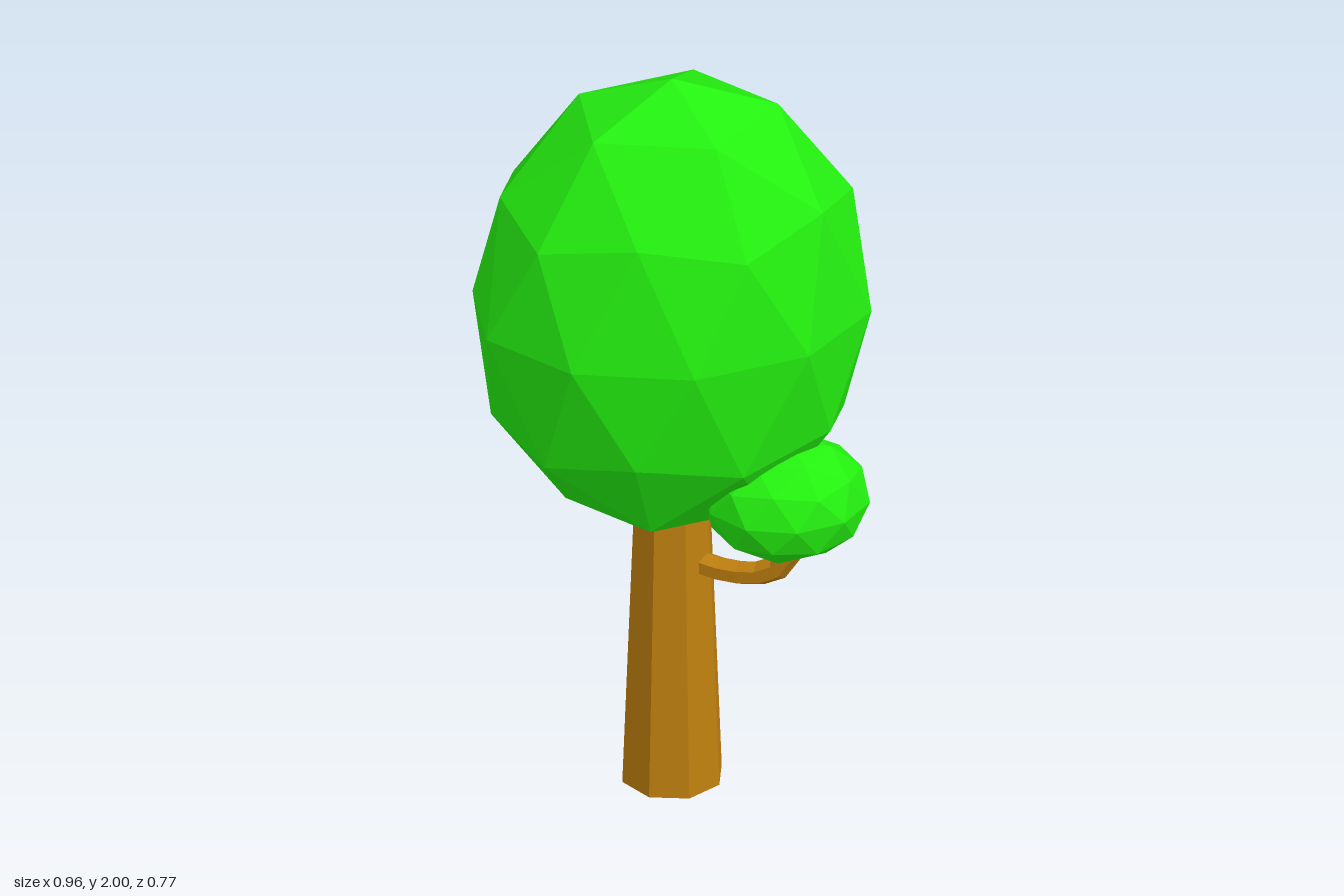
import * as THREE from 'three';

const leafMat = new THREE.MeshStandardMaterial({ color: 0x24f010, flatShading: true });
const barkMat = new THREE.MeshStandardMaterial({ color: 0xc08010, flatShading: true });

// Low-poly ball with a vertex at each pole and a ring of ten around its middle
function foliage(name, position, radii) {
  const vertices = [0, 1, 0];
  const faces = [];
  const h = 1 / Math.sqrt(5);
  for (const [y, turn] of [[h, 0], [-h, Math.PI / 5]]) {
    for (let k = 0; k < 5; k++) {
      const a = turn + (k * 2 * Math.PI) / 5;
      vertices.push(2 * h * Math.cos(a), y, 2 * h * Math.sin(a));
    }
  }
  vertices.push(0, -1, 0);
  for (let k = 0; k < 5; k++) {
    const n = (k + 1) % 5;
    const [a, b, c, d] = [1 + k, 1 + n, 6 + k, 6 + n];
    faces.push(0, b, a, a, b, c, b, d, c, 11, c, d);
  }
  const geometry = new THREE.PolyhedronGeometry(vertices, faces, 1, 1);
  geometry.scale(...radii);
  const mesh = new THREE.Mesh(geometry, leafMat);
  mesh.name = name;
  mesh.position.set(...position);
  return mesh;
}

export function createModel() {
  const tree = new THREE.Group();
  tree.name = 'tree';

  // Tapered eight-sided trunk, its top hidden in the crown
  const trunk = new THREE.Mesh(new THREE.CylinderGeometry(0.099, 0.13, 0.8, 8), barkMat);
  trunk.name = 'trunk';
  trunk.position.y = 0.4;
  trunk.rotation.y = 0.19;
  tree.add(trunk);

  // Side branch curving up into the small clump
  const path = new THREE.CatmullRomCurve3([
    new THREE.Vector3(0.02, 0.637, 0.02),
    new THREE.Vector3(0.13, 0.63, 0.1),
    new THREE.Vector3(0.21, 0.65, 0.15),
    new THREE.Vector3(0.262, 0.7, 0.18),
    new THREE.Vector3(0.265, 0.77, 0.18),
  ]);
  const branch = new THREE.Mesh(new THREE.TubeGeometry(path, 7, 0.032, 6), barkMat);
  branch.name = 'branch';
  tree.add(branch);

  // Main crown and the small clump on the branch
  tree.add(foliage('crown', [0, 1.36, 0], [0.505, 0.64, 0.387]));
  tree.add(foliage('smallFoliage', [0.26, 0.88, 0.18], [0.21, 0.16, 0.18]));

  return tree;
}
